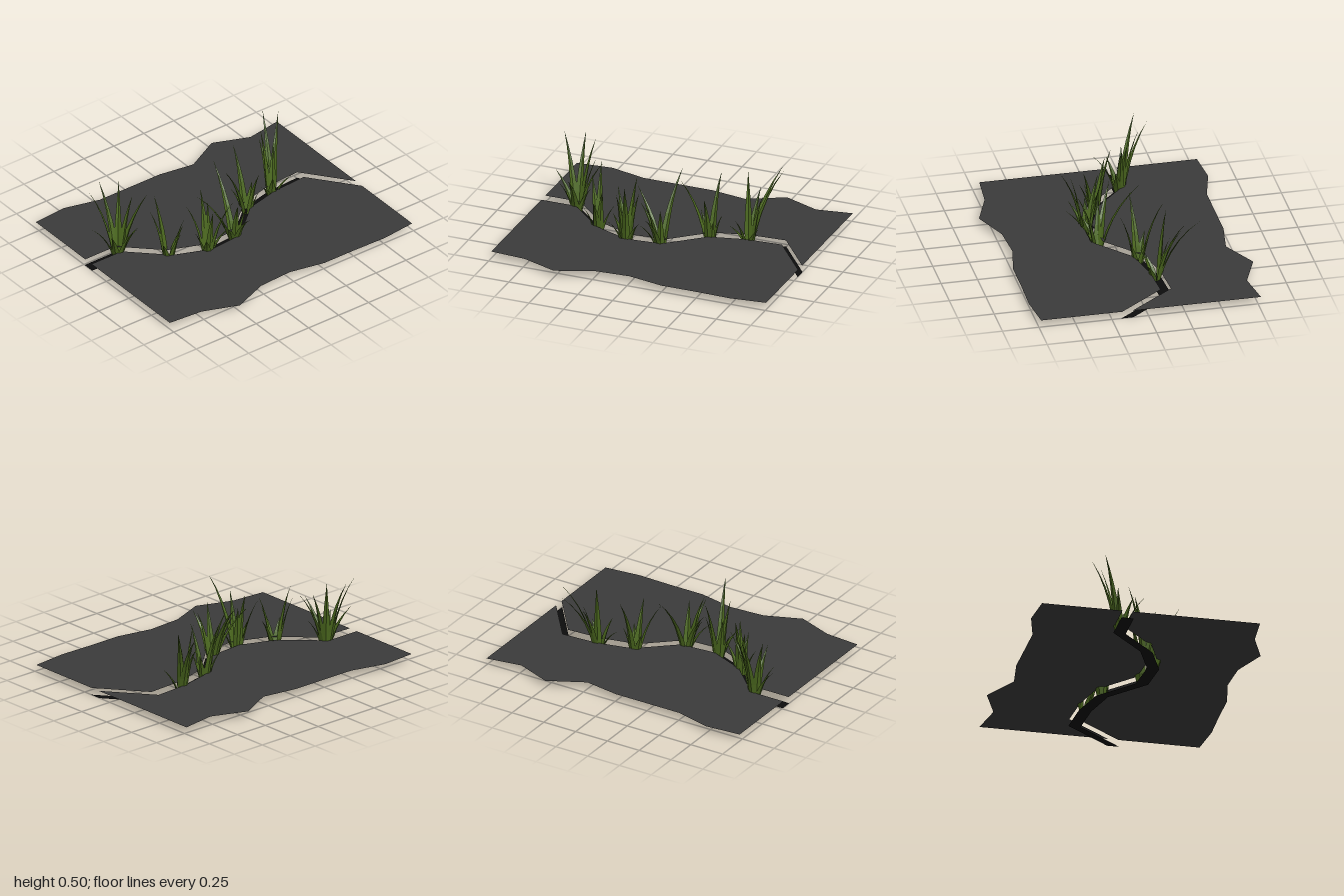
import * as THREE from 'three';

const paint = (name, color) => {
  const m = new THREE.MeshStandardMaterial({ color, side: THREE.DoubleSide });
  m.name = name;
  return m;
};
const asphalt = paint('asphalt grey', 0x3b3b3b);
const soil = paint('crack black', 0x0d0d0d);
const green = paint('grass green', 0x4b681e);

// Stations run along x every 0.25
const stationX = (i) => -1 + i * 0.25;
const crack = [-0.2, -0.2, 0.04, 0.14, 0.12, -0.1, -0.16, -0.175, 0.145];
const backEdge = [-0.785, -0.805, -0.74, -0.74, -0.74, -0.7, -0.83, -0.73, -0.77];
const frontEdge = [0.705, 0.725, 0.82, 0.72, 0.705, 0.757, 0.757, 0.763, 0.735];
const GAP = 0.035;      // half width of the crack
const GROUND_Y = 0.05;  // ground lies above the crack floor

// Rows of points joined into a flat-shaded surface
function surface(rows) {
  const pos = [], index = [];
  const n = rows[0].length;
  rows.forEach((row) => row.forEach((p) => pos.push(p.x, p.y, p.z)));
  for (let i = 0; i < rows.length - 1; i++) {
    for (let j = 0; j < n - 1; j++) {
      const a = i * n + j, b = a + 1, c = a + n, d = c + 1;
      index.push(a, b, c, b, d, c);
    }
  }
  let g = new THREE.BufferGeometry();
  g.setAttribute('position', new THREE.Float32BufferAttribute(pos, 3));
  g.setIndex(index);
  g = g.toNonIndexed();
  g.computeVertexNormals();
  return g;
}

// Flat strip between two z edges
function strip(name, near, far, y, material) {
  const rows = near.map((z, i) => [
    new THREE.Vector3(stationX(i), y, z),
    new THREE.Vector3(stationX(i), y, far[i]),
  ]);
  const mesh = new THREE.Mesh(surface(rows), material);
  mesh.name = name;
  return mesh;
}

// Folded grass blade, rising from the clump centre and arching to its tip
function blade(cx, cz, tip) {
  const end = new THREE.Vector3(...tip);
  const lean = new THREE.Vector3(end.x - cx, 0, end.z - cz);
  const out = lean.clone().normalize();
  const side = new THREE.Vector3(out.z, 0, -out.x);
  const base = new THREE.Vector3(cx, 0, cz).addScaledVector(out, 0.025);
  const bend = base.clone().addScaledVector(lean, 0.22);
  bend.y = end.y * 0.6;
  const path = new THREE.QuadraticBezierCurve3(base, bend, end);
  const halfWidths = [0.023, 0.026, 0.021, 0.014, 0.007, 0.0005];
  const rows = halfWidths.map((w, i) => {
    const p = path.getPoint(i / (halfWidths.length - 1));
    return [
      p.clone().addScaledVector(side, -w),
      p.clone().addScaledVector(out, w * 0.4),
      p.clone().addScaledVector(side, w),
    ];
  });
  const mesh = new THREE.Mesh(surface(rows), green);
  mesh.name = 'grassBlade';
  return mesh;
}

// Clumps: centre x, z and the tip of every blade
const clumps = [
  { at: [-0.755, -0.2], tips: [
    [-0.9, 0.5, -0.33], [-0.77, 0.5, -0.39], [-0.665, 0.5, -0.31], [-0.93, 0.25, -0.25],
    [-0.54, 0.42, -0.165], [-0.62, 0.41, -0.22], [-0.63, 0.21, -0.14], [-0.74, 0.3, -0.01],
    [-0.86, 0.22, -0.13]] },
  { at: [-0.505, 0.03], tips: [
    [-0.535, 0.45, -0.09], [-0.59, 0.36, -0.06], [-0.44, 0.34, 0.12], [-0.385, 0.21, 0.03],
    [-0.59, 0.17, 0.08], [-0.49, 0.25, 0.15]] },
  { at: [-0.26, 0.14], tips: [
    [-0.19, 0.5, 0.34], [-0.36, 0.36, 0.04], [-0.23, 0.44, 0.02], [-0.35, 0.19, 0.245],
    [-0.14, 0.19, 0.21], [-0.29, 0.39, 0.24], [-0.36, 0.2, 0.13], [-0.2, 0.34, 0.06]] },
  { at: [-0.02, 0.115], tips: [
    [0.02, 0.47, -0.17], [-0.24, 0.37, -0.01], [-0.04, 0.29, 0.335], [-0.18, 0.29, 0.08],
    [-0.085, 0.36, 0.24], [-0.14, 0.18, 0.2], [0.02, 0.32, 0.22]] },
  { at: [0.245, -0.1], tips: [
    [0.26, 0.44, -0.27], [0.04, 0.42, -0.085], [0.255, 0.36, 0.025], [0.32, 0.19, -0.14],
    [0.155, 0.19, -0.165], [0.3, 0.18, -0.03]] },
  { at: [0.5, -0.16], tips: [
    [0.63, 0.47, -0.435], [0.685, 0.5, -0.335], [0.465, 0.49, -0.24], [0.52, 0.35, -0.33],
    [0.6, 0.155, -0.08], [0.38, 0.13, -0.12], [0.44, 0.2, -0.07], [0.57, 0.33, -0.24]] },
];

export function createModel() {
  const model = new THREE.Group();
  model.name = 'crackedGround';

  // Two ground slabs and the crack floor below them
  const crackFront = crack.map((z) => z + GAP);
  const crackBack = crack.map((z) => z - GAP);
  model.add(
    strip('groundBack', crackBack, backEdge, GROUND_Y, asphalt),
    strip('groundFront', frontEdge, crackFront, GROUND_Y, asphalt),
    strip('crackFloor', crack.map((z) => z + 0.042), crack.map((z) => z - 0.042), 0, soil),
  );
  // Turn the surfaces to face up
  model.children.forEach((mesh) => {
    if (mesh.geometry.attributes.normal.getY(0) < 0) {
      const p = mesh.geometry.attributes.position;
      const a = new THREE.Vector3(), b = new THREE.Vector3();
      for (let i = 0; i < p.count; i += 3) {
        a.fromBufferAttribute(p, i + 1);
        b.fromBufferAttribute(p, i + 2);
        p.setXYZ(i + 1, b.x, b.y, b.z);
        p.setXYZ(i + 2, a.x, a.y, a.z);
      }
      mesh.geometry.computeVertexNormals();
    }
  });

  // Grass growing out of the crack
  clumps.forEach(({ at, tips }) => {
    const clump = new THREE.Group();
    clump.name = 'grassClump';
    tips.forEach((tip) => clump.add(blade(at[0], at[1], tip)));
    model.add(clump);
  });
  return model;
}
